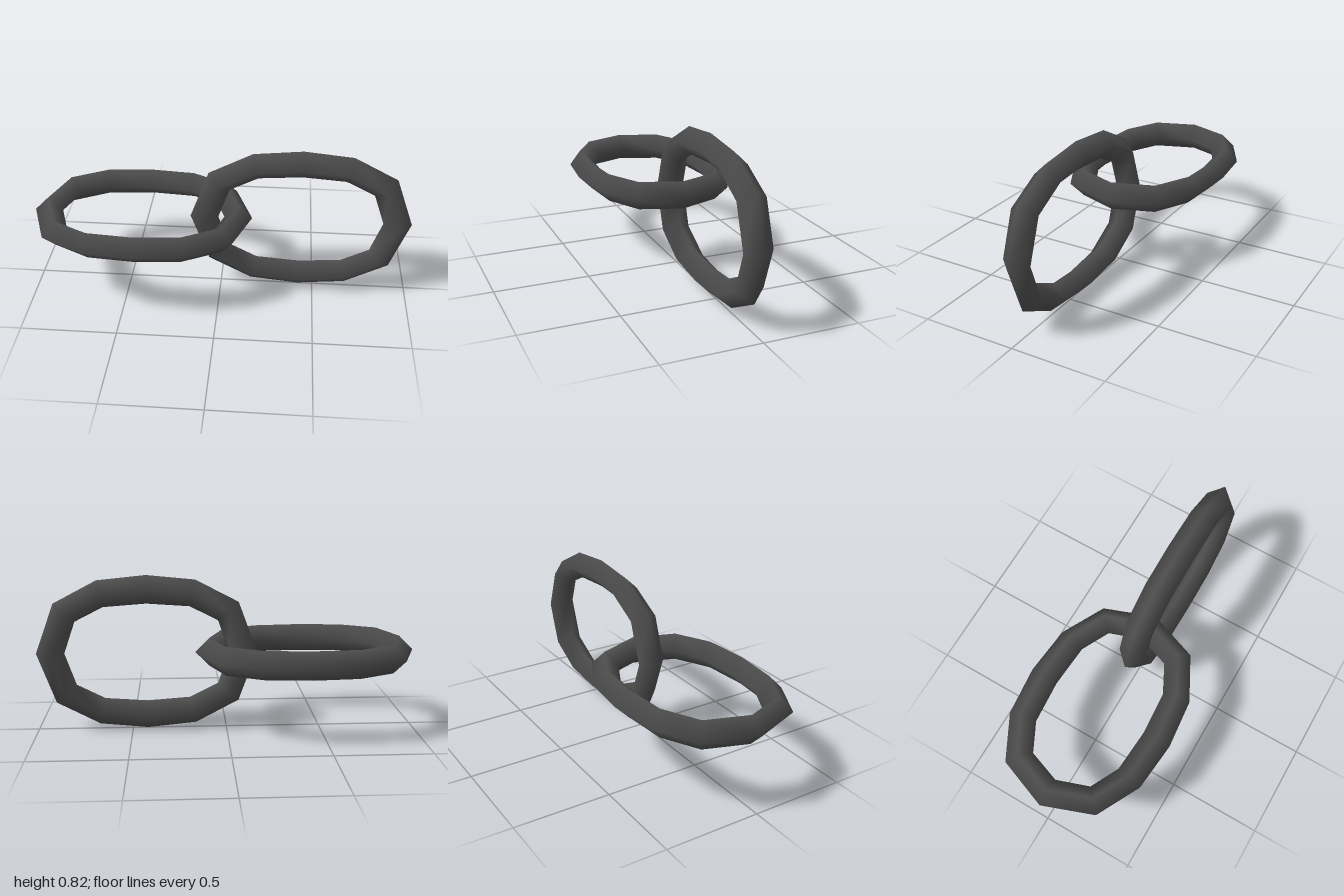
import * as THREE from 'three';

// Quarter of the oval link: [outer x, outer y, inner x, inner y]
const QUARTER = [
  [0.582, 0, 0.434, 0],
  [0.484, 0.267, 0.375, 0.17],
  [0.256, 0.387, 0.226, 0.246],
  [0, 0.4125, 0, 0.2625],
];
const HALF_THICKNESS = 0.075;

// Mirror the quarter into a full counter-clockwise loop of 12 stations
function linkStations() {
  const flip = (sx, sy) => ([a, b, c, d]) => [a * sx, b * sy, c * sx, d * sy];
  const half = [...QUARTER, ...QUARTER.slice(0, 3).reverse().map(flip(-1, 1))];
  return [...half, ...half.slice(1, 6).reverse().map(flip(1, -1))];
}

// Sweep a diamond cross-section around the loop, sharing vertices for smooth shading
function linkGeometry() {
  const stations = linkStations();
  const positions = [];
  const indices = [];
  const n = stations.length;
  stations.forEach(([ox, oy, ix, iy], i) => {
    const mx = (ox + ix) / 2;
    const my = (oy + iy) / 2;
    positions.push(ox, oy, 0, mx, my, HALF_THICKNESS, ix, iy, 0, mx, my, -HALF_THICKNESS);
    const next = (i + 1) % n;
    for (let j = 0; j < 4; j++) {
      const k = (j + 1) % 4;
      const a = i * 4 + j, b = next * 4 + j, c = i * 4 + k, d = next * 4 + k;
      indices.push(a, b, c, b, d, c);
    }
  });
  const geometry = new THREE.BufferGeometry();
  geometry.setAttribute('position', new THREE.Float32BufferAttribute(positions, 3));
  geometry.setIndex(indices);
  geometry.computeVertexNormals();
  return geometry;
}

export function createModel() {
  const group = new THREE.Group();
  group.name = 'chain';
  const iron = new THREE.MeshStandardMaterial({ color: 0x4d4d4d });
  iron.name = 'dark iron';
  const geometry = linkGeometry();

  // Upright link on the left, flat link on the right, hooked through each other
  const uprightLink = new THREE.Mesh(geometry, iron);
  uprightLink.name = 'uprightLink';
  uprightLink.position.set(0.418, 0.4125, 0);

  const flatLink = new THREE.Mesh(geometry, iron);
  flatLink.name = 'flatLink';
  flatLink.position.set(-0.418, 0.4125, 0);
  flatLink.rotation.x = Math.PI / 2;

  group.add(uprightLink, flatLink);
  return group;
}
